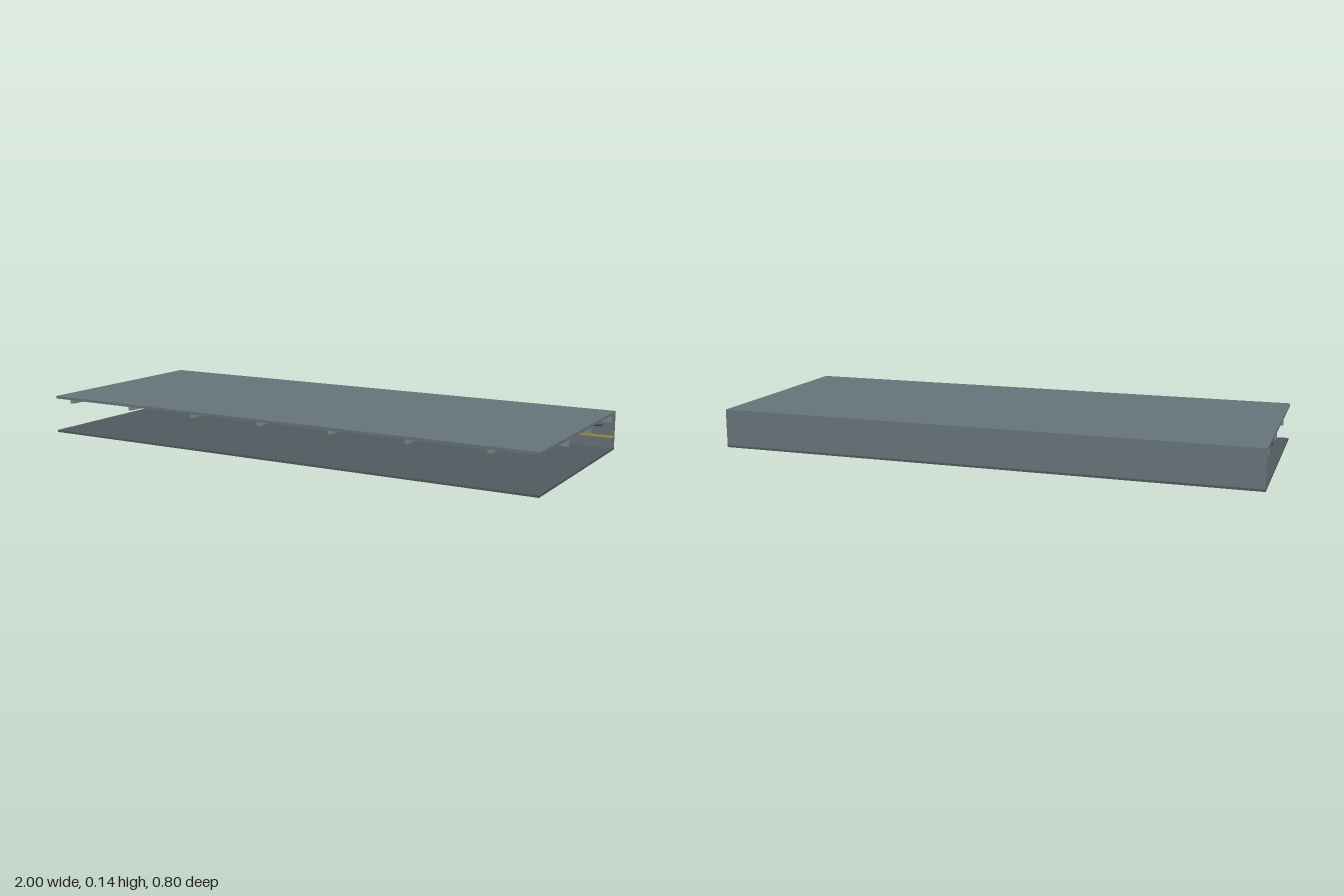
import * as THREE from 'three';

const paint = (color) => new THREE.MeshStandardMaterial({ color });

export function createModel() {
  const model = new THREE.Group();
  const shell = paint(0x66757a);
  const steel = paint(0x7d8a8c);
  const dark = paint(0x394144);
  const floorGrey = paint(0x505a5e);
  const yellow = paint(0xb59a35);

  // box given by its lower and upper corners
  function box(name, material, [x0, y0, z0], [x1, y1, z1]) {
    const mesh = new THREE.Mesh(new THREE.BoxGeometry(x1 - x0, y1 - y0, z1 - z0), material);
    mesh.position.set((x0 + x1) / 2, (y0 + y1) / 2, (z0 + z1) / 2);
    mesh.name = name;
    model.add(mesh);
  }

  // floor, back wall and roof
  box('floor', floorGrey, [-1, 0, -0.4], [1, 0.008, 0.4]);
  box('backWall', shell, [-1, 0.008, -0.4], [1, 0.135, -0.389]);
  box('roof', shell, [-1, 0.135, -0.4], [1, 0.145, 0.4]);

  // wall lining in two panels with a dark joint, and a painted stripe
  box('wallPanel', shell, [-1, 0.008, -0.389], [0.723, 0.122, -0.384]);
  box('wallPanel', shell, [0.727, 0.008, -0.389], [1, 0.122, -0.384]);
  box('panelJoint', dark, [0.723, 0.008, -0.389], [0.727, 0.122, -0.3835]);
  box('wallStripe', yellow, [-1, 0.046, -0.384], [1, 0.054, -0.383]);

  // ceiling joists running front to back
  for (let i = 0; i < 7; i++) {
    const x = -0.917 + i * 0.2917;
    box('joist', steel, [x - 0.008, 0.122, -0.389], [x + 0.008, 0.135, 0.4]);
  }

  // cross beams running along the length
  for (const z of [0.132, -0.105, -0.346]) {
    box('crossBeam', steel, [-1, 0.113, z - 0.01], [1, 0.135, z + 0.01]);
  }

  // ceiling pipes
  for (const [z, y, r] of [[-0.222, 0.122, 0.004], [-0.236, 0.121, 0.0025]]) {
    const pipe = new THREE.Mesh(new THREE.CylinderGeometry(r, r, 2, 12), dark);
    pipe.rotation.z = Math.PI / 2;
    pipe.position.set(0, y, z);
    pipe.name = 'ceilingPipe';
    model.add(pipe);
  }

  // row of low floor kerbs
  for (let i = 0; i < 14; i++) {
    const x = -0.7 + i * 0.1042;
    box('floorKerb', dark, [x - 0.03, 0.008, -0.308], [x + 0.03, 0.013, -0.302]);
  }

  return model;
}
